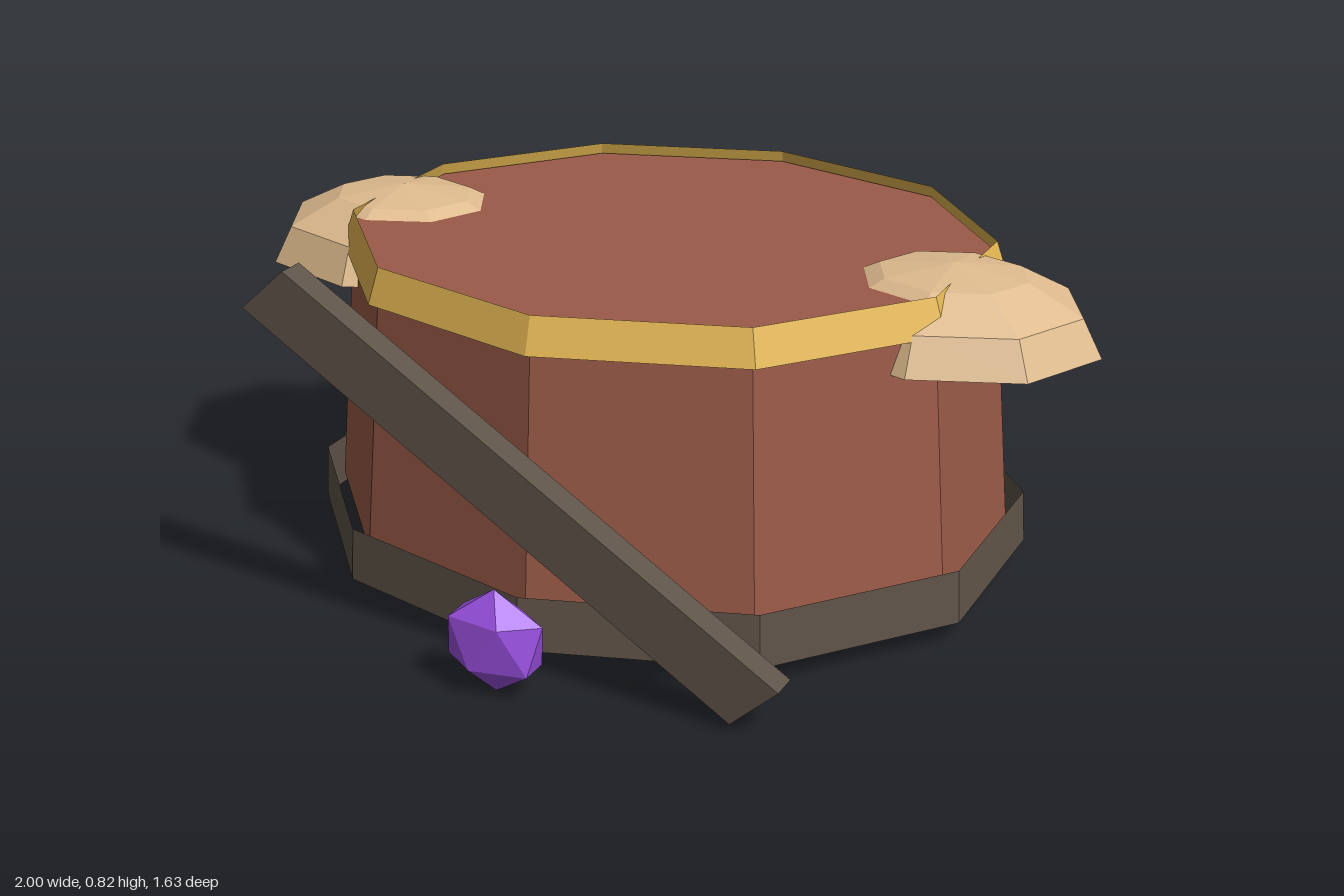
import * as THREE from 'three';

const mat = (name, color, open = false) => {
  const m = new THREE.MeshStandardMaterial({ color, flatShading: true });
  m.name = name;
  if (open) m.side = THREE.DoubleSide;
  return m;
};

export function createModel() {
  const model = new THREE.Group();
  model.name = 'armouredTorso';

  const brown = mat('brown leather', 0x9a5a47);
  const darkLeather = mat('dark leather', 0x5f5348, true);
  const gold = mat('gold', 0xe4b752, true);
  const tan = mat('tan', 0xdfbb8e, true);
  const purple = mat('purple gem', 0x9a50e0);

  const add = (name, geometry, material, x, y, z) => {
    const mesh = new THREE.Mesh(geometry, material);
    mesh.name = name;
    mesh.position.set(x, y, z);
    model.add(mesh);
    return mesh;
  };

  // Ten-sided oval tapered ring or drum between two heights
  const DEPTH = 0.895;
  const drum = (name, material, rTop, rBottom, y0, y1, open) => {
    const g = new THREE.CylinderGeometry(rTop, rBottom, y1 - y0, 10, 1, open);
    g.scale(1, 1, DEPTH);
    return add(name, g, material, 0, (y0 + y1) / 2, -0.0725);
  };
  drum('body', brown, 0.731, 0.783, 0.11, 0.735, false);
  drum('collar', gold, 0.731, 0.758, 0.68, 0.76, true);
  drum('belt', darkLeather, 0.821, 0.828, 0.05, 0.17, true);

  // Open faceted shoulder domes
  for (const side of [1, -1]) {
    const dome = new THREE.SphereGeometry(1, 8, 3, 0, Math.PI * 2, 0, Math.PI / 2);
    dome.scale(0.33, 0.165, 0.286);
    add(side > 0 ? 'leftShoulder' : 'rightShoulder', dome, tan, side * 0.67, 0.61, -0.054);
  }

  // Diagonal chest strap, squashed after it is turned
  const strap = new THREE.BoxGeometry(1.44, 0.16, 0.063);
  strap.rotateZ(-0.7);
  strap.scale(1, 0.762, 1);
  add('strap', strap, darkLeather, 0, 0.418, 0.678);

  // Flattened gem with a point upwards
  const gem = new THREE.IcosahedronGeometry(1, 0);
  gem.rotateZ(-0.5536);
  gem.scale(0.123, 0.115, 0.064);
  add('gem', gem, purple, 0, 0.116, 0.757);

  return model;
}
